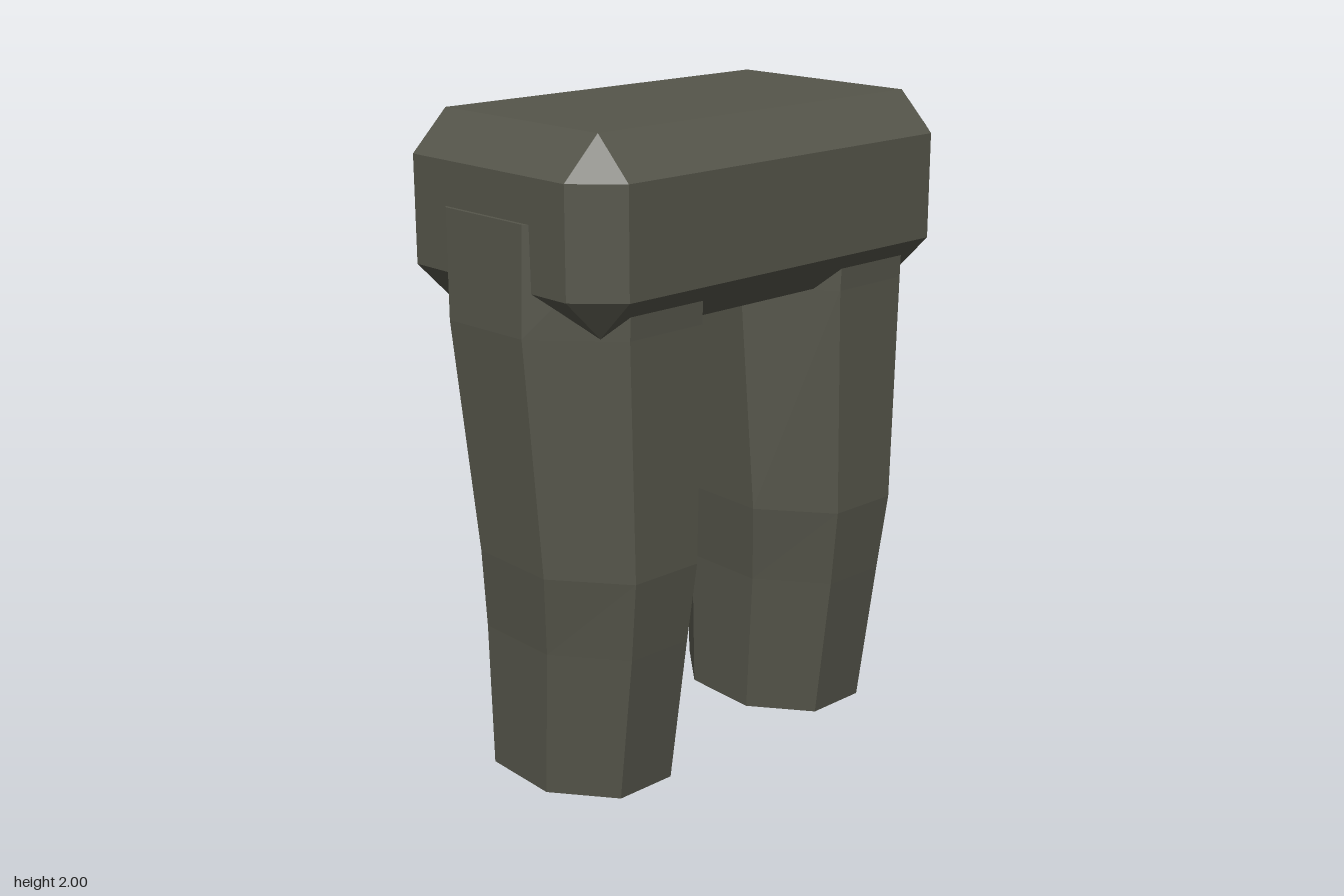
import * as THREE from 'three';
import { ConvexGeometry } from 'three/addons/geometries/ConvexGeometry.js';

// Box with chamfered edges and corners
function chamferedBox(hx, hy, hz, c) {
  const points = [];
  for (const x of [-1, 1]) for (const y of [-1, 1]) for (const z of [-1, 1]) {
    points.push(
      new THREE.Vector3(x * hx, y * (hy - c), z * (hz - c)),
      new THREE.Vector3(x * (hx - c), y * hy, z * (hz - c)),
      new THREE.Vector3(x * (hx - c), y * (hy - c), z * hz)
    );
  }
  return new ConvexGeometry(points);
}

// Eight-sided leg sections, bottom to top: y, half width, centre z, half depth, drop towards the front
const legSections = [
  [0.017, 0.245, 0, 0.295, 0.013],
  [0.48, 0.265, 0.026, 0.332, 0.008],
  [0.73, 0.29, 0.044, 0.345, 0.01],
  [1.43, 0.33, 0.003, 0.388, -0.005],
  [1.75, 0.322, -0.002, 0.405, 0],
];

function legGeometry() {
  const sides = 8, positions = [], index = [];
  const apothem = Math.cos(Math.PI / sides);
  for (const [y, hw, cz, hd, drop] of legSections) {
    for (let i = 0; i < sides; i++) {
      const a = ((i + 0.5) / sides) * Math.PI * 2;
      const dx = Math.sin(a) / apothem, dz = Math.cos(a) / apothem;
      positions.push(dx * hw, y - dz * drop, cz + dz * hd);
    }
  }
  const last = (legSections.length - 1) * sides;
  for (let r = 0; r < last; r += sides) {
    for (let i = 0; i < sides; i++) {
      const j = (i + 1) % sides;
      index.push(r + i, r + j, r + sides + j, r + i, r + sides + j, r + sides + i);
    }
  }
  // End caps
  for (let i = 1; i < sides - 1; i++) {
    index.push(0, i + 1, i, last, last + i, last + i + 1);
  }
  const geometry = new THREE.BufferGeometry();
  geometry.setAttribute('position', new THREE.Float32BufferAttribute(positions, 3));
  geometry.setIndex(index);
  const flat = geometry.toNonIndexed();
  flat.computeVertexNormals();
  return flat;
}

export function createModel() {
  const group = new THREE.Group();
  group.name = 'legsAndHips';
  const cloth = new THREE.MeshStandardMaterial({ color: 0x55554a, flatShading: true });
  cloth.name = 'dark olive grey';

  // Hip block
  const hips = new THREE.Mesh(chamferedBox(0.735, 0.28, 0.45, 0.12), cloth);
  hips.name = 'hips';
  hips.position.y = 1.72;
  group.add(hips);

  // Pair of legs
  const geometry = legGeometry();
  for (const [name, side] of [['leftLeg', 1], ['rightLeg', -1]]) {
    const leg = new THREE.Mesh(geometry, cloth);
    leg.name = name;
    leg.position.x = side * 0.425;
    group.add(leg);
  }
  return group;
}
